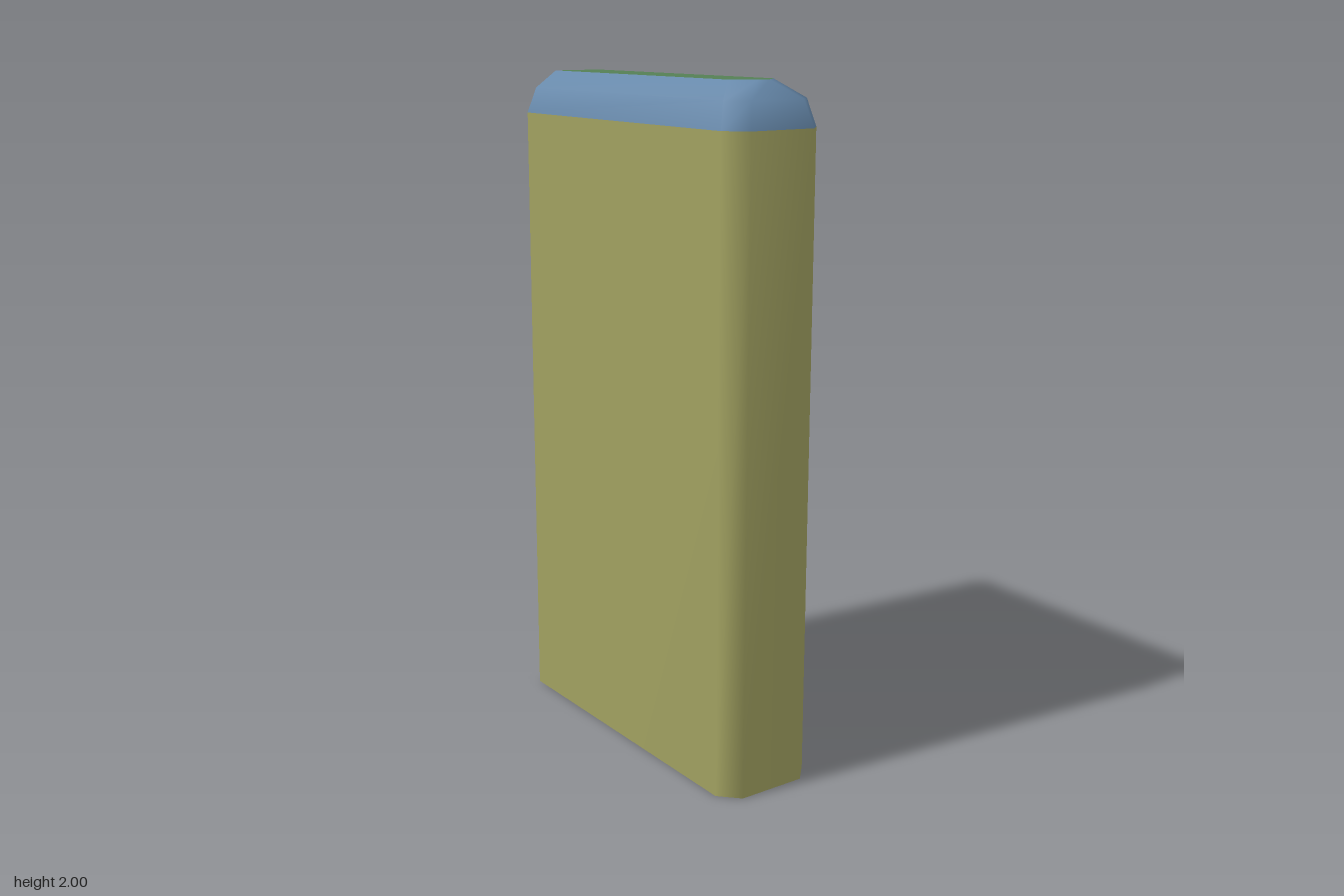
import * as THREE from 'three';

// U-shaped outline, open towards -x, running front -> rounded end -> back
function outline(y, xOpen, z, xCorner, xEnd, zEnd) {
  return [
    [xOpen, y, z], [xCorner, y, z], [xEnd, y, zEnd],
    [xEnd, y, -zEnd], [xCorner, y, -z], [xOpen, y, -z],
  ];
}

// Smooth skin through a stack of outlines, lowest first
function loft(rings) {
  const n = rings[0].length;
  const index = [];
  for (let r = 0; r < rings.length - 1; r++) {
    for (let i = 0; i < n - 1; i++) {
      const a = r * n + i, b = a + 1, c = b + n, d = a + n;
      index.push(a, b, c, a, c, d);
    }
  }
  const geometry = new THREE.BufferGeometry();
  geometry.setAttribute('position', new THREE.Float32BufferAttribute(rings.flat(2), 3));
  geometry.setIndex(index);
  geometry.computeVertexNormals();
  return geometry;
}

export function createModel() {
  const group = new THREE.Group();
  group.name = 'openShell';

  const add = (name, geometry, color) => {
    const mesh = new THREE.Mesh(geometry, new THREE.MeshStandardMaterial({ color, side: THREE.DoubleSide }));
    mesh.name = name;
    group.add(mesh);
    return mesh;
  };

  const base = outline(0, -0.52, 0.16, 0.463, 0.52, 0.105);
  const shoulder = outline(1.875, -0.52, 0.16, 0.463, 0.52, 0.105);
  const bevel = outline(1.95, -0.5, 0.14, 0.445, 0.497, 0.087);
  const rim = outline(2, -0.487, 0.077, 0.38, 0.435, 0.02);

  // Upright walls, open at the bottom and at the -x end
  add('walls', loft([base, shoulder]), 0xa0a060);

  // Two-step rounded shoulder
  add('shoulder', loft([shoulder, bevel, rim]), 0x6688aa);

  // Flat top panel filling the rim
  const shape = new THREE.Shape(rim.map(([x, , z]) => new THREE.Vector2(x, -z)));
  const top = add('topPanel', new THREE.ShapeGeometry(shape).rotateX(-Math.PI / 2), 0x557f55);
  top.position.y = 2;

  return group;
}
